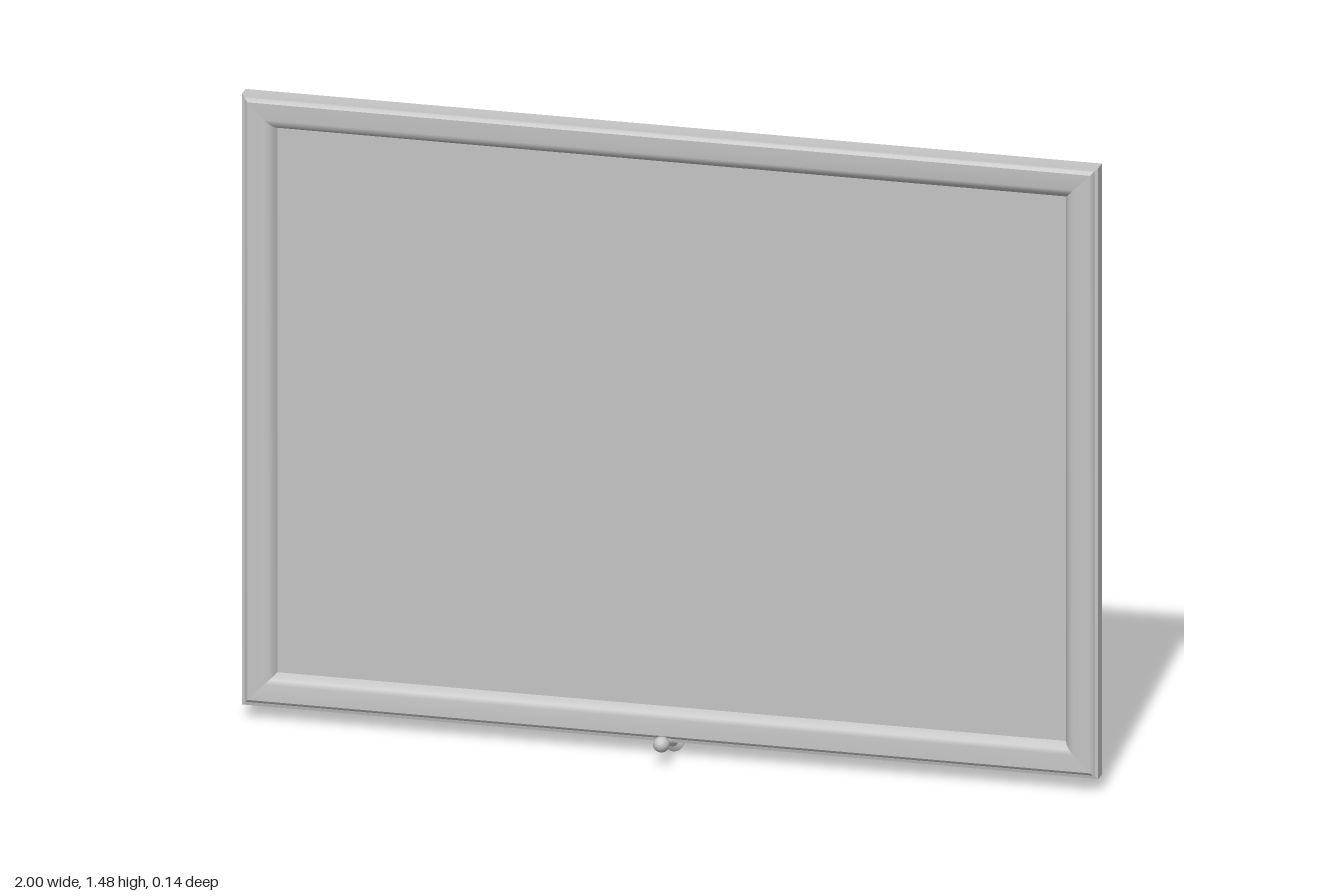
import * as THREE from 'three';

const CY = 0.76; // height of the frame's centre

// One mitred ring of four strips; profile is [halfWidth, halfHeight, z] per loop, outside to inside.
function ringGeometry(profile) {
  const pos = [], index = [];
  const corners = [[-1, -1], [1, -1], [1, 1], [-1, 1]];
  for (let side = 0; side < 4; side++) {
    const a = corners[side], b = corners[(side + 1) % 4];
    const start = pos.length / 3;
    for (const [w, h, z] of profile) {
      pos.push(a[0] * w, CY + a[1] * h, z, b[0] * w, CY + b[1] * h, z);
    }
    for (let i = 0; i < profile.length - 1; i++) {
      const k = start + i * 2;
      index.push(k, k + 1, k + 3, k, k + 3, k + 2);
    }
  }
  const geometry = new THREE.BufferGeometry();
  geometry.setAttribute('position', new THREE.Float32BufferAttribute(pos, 3));
  geometry.setIndex(index);
  geometry.computeVertexNormals();
  return geometry;
}

export function createModel() {
  const group = new THREE.Group();
  const frameGrey = new THREE.MeshStandardMaterial({ color: 0xc4c4c4, side: THREE.DoubleSide });
  frameGrey.name = 'frame grey';
  const paneGrey = new THREE.MeshStandardMaterial({ color: 0xc4c4c4, side: THREE.DoubleSide });
  paneGrey.name = 'pane grey';

  const add = (name, geometry, material, parent = group) => {
    const mesh = new THREE.Mesh(geometry, material);
    mesh.name = name;
    parent.add(mesh);
    return mesh;
  };

  // Frame shell, open at the back: outer wall, small step, then the moulded face
  add('outerWall', ringGeometry([[1, 0.725, -0.057], [1, 0.725, -0.024]]), frameGrey);
  add('frameStep', ringGeometry([[1, 0.725, -0.024], [0.992, 0.717, -0.022]]), frameGrey);
  add('frameLip', ringGeometry([[0.992, 0.717, -0.022], [0.99, 0.715, -0.016], [0.984, 0.709, -0.012]]), frameGrey);
  add('frameFace', ringGeometry([
    [0.984, 0.709, -0.012], [0.945, 0.67, -0.013], [0.934, 0.659, -0.017],
    [0.926, 0.651, -0.026], [0.921, 0.646, -0.038],
  ]), frameGrey);

  // Glazed panel set into the frame
  const pane = add('pane', new THREE.PlaneGeometry(1.842, 1.292), paneGrey);
  pane.position.set(0, CY, -0.038);

  // Pull handle on the bottom rail, turned around its own axis
  const handle = new THREE.Group();
  handle.name = 'handle';
  handle.position.set(0, 0.026, -0.06);
  handle.rotation.x = Math.PI / 2 - 0.235;
  group.add(handle);
  const lathe = (pts) => new THREE.LatheGeometry(pts.map(([r, y]) => new THREE.Vector2(r, y)), 24);
  add('handleFlange', lathe([[0, 0.004], [0.014, 0.004], [0.017, -0.001], [0.024, -0.001], [0.024, 0.004], [0.012, 0.012]]), frameGrey, handle);
  add('handleStem', lathe([[0.012, 0.012], [0.01, 0.03], [0.008, 0.05], [0.009, 0.075], [0.013, 0.092]]), frameGrey, handle);
  add('handleKnob', lathe([
    [0.013, 0.092], [0.017, 0.102], [0.0185, 0.112], [0.017, 0.122], [0.012, 0.129], [0.006, 0.132], [0, 0.133],
  ]), frameGrey, handle);

  return group;
}
